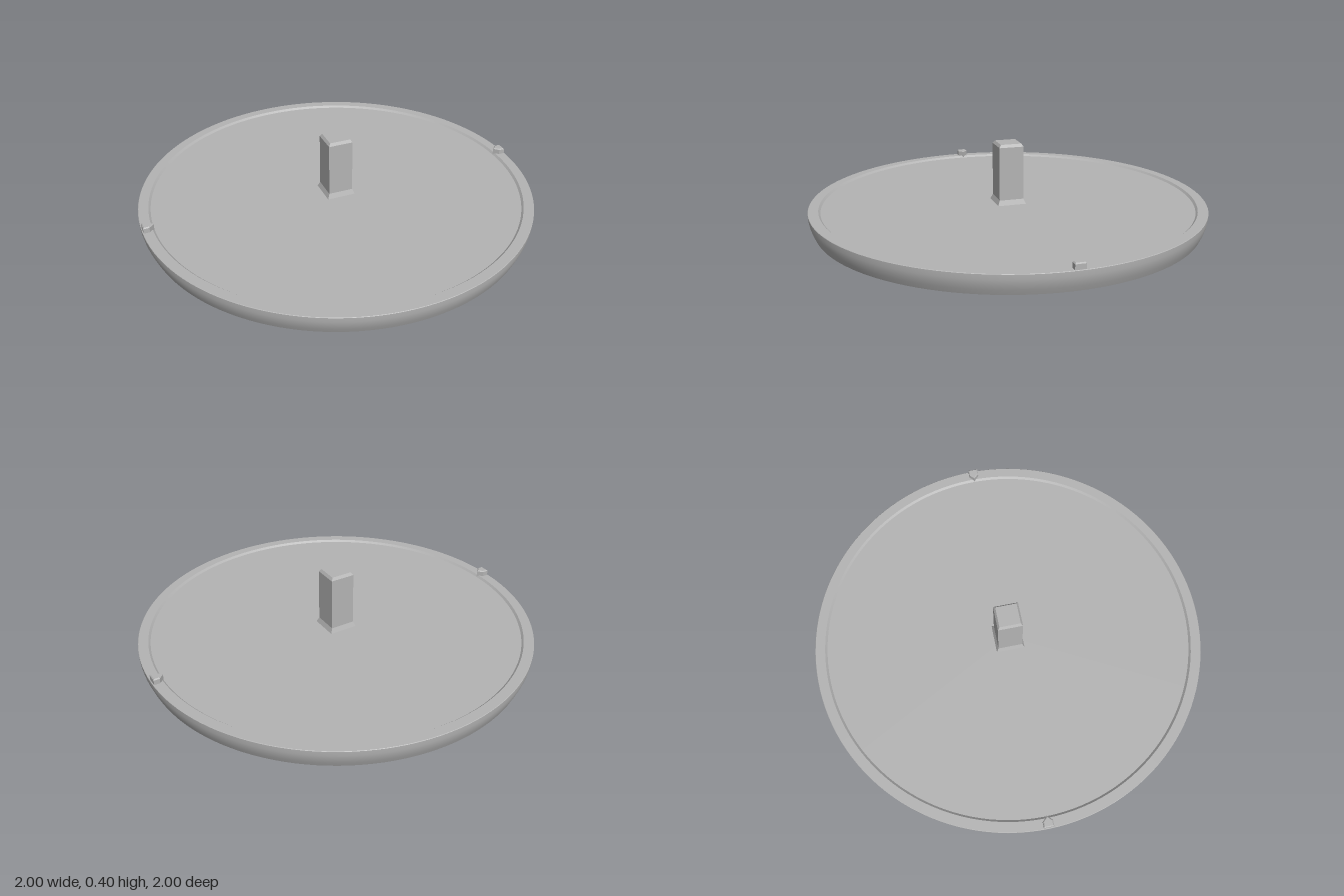
import * as THREE from 'three';
import { toCreasedNormals } from 'three/addons/utils/BufferGeometryUtils.js';

const grey = new THREE.MeshStandardMaterial({ color: 0xb4b4b4 });
grey.name = 'plain grey';

const points = (list) => list.map(([x, y]) => new THREE.Vector2(x, y));

function addMesh(parent, name, geometry) {
  const mesh = new THREE.Mesh(geometry, grey);
  mesh.name = name;
  parent.add(mesh);
  return mesh;
}

// Round tray with a bowed side wall, a flat rim and a shallow sloped step down to the floor
function trayGeometry() {
  const profile = points([
    [0, 0], [0.974, 0], [0.985, 0.025], [0.994, 0.05], [0.999, 0.075], [1, 0.098],
    [0.998, 0.1], [0.949, 0.1], [0.939, 0.09], [0, 0.09],
  ]);
  return toCreasedNormals(new THREE.LatheGeometry(profile, 128), 0.4);
}

// Square post with a flared foot and a chamfered top; x is the half width
function postGeometry() {
  const profile = points([
    [0.073, 0.085], [0.073, 0.09], [0.0625, 0.115], [0.0625, 0.386], [0.053, 0.4], [0, 0.4],
  ]);
  profile.forEach((p) => { p.x *= Math.SQRT2; });
  const geometry = new THREE.LatheGeometry(profile, 4, Math.PI / 4).toNonIndexed();
  geometry.computeVertexNormals();
  return geometry;
}

// Small five-sided peg, pointed towards the centre of the tray, with a bevelled top
function pegGeometry() {
  const b = 0.005;
  const shape = new THREE.Shape(points([
    [0.947, 0], [0.967, -0.02], [0.99, -0.02], [0.99, 0.02], [0.967, 0.02],
  ]));
  const geometry = new THREE.ExtrudeGeometry(shape, {
    depth: 0.035, bevelEnabled: true, bevelSize: b, bevelThickness: b, bevelSegments: 1,
  });
  geometry.rotateX(-Math.PI / 2);
  geometry.translate(0, 0.09, 0);
  return geometry;
}

export function createModel() {
  const model = new THREE.Group();
  model.name = 'tray with post';
  addMesh(model, 'tray', trayGeometry());
  addMesh(model, 'centrePost', postGeometry());

  // One peg on each side of the rim
  const peg = pegGeometry();
  addMesh(model, 'leftPeg', peg);
  addMesh(model, 'rightPeg', peg).rotation.y = Math.PI;
  return model;
}
